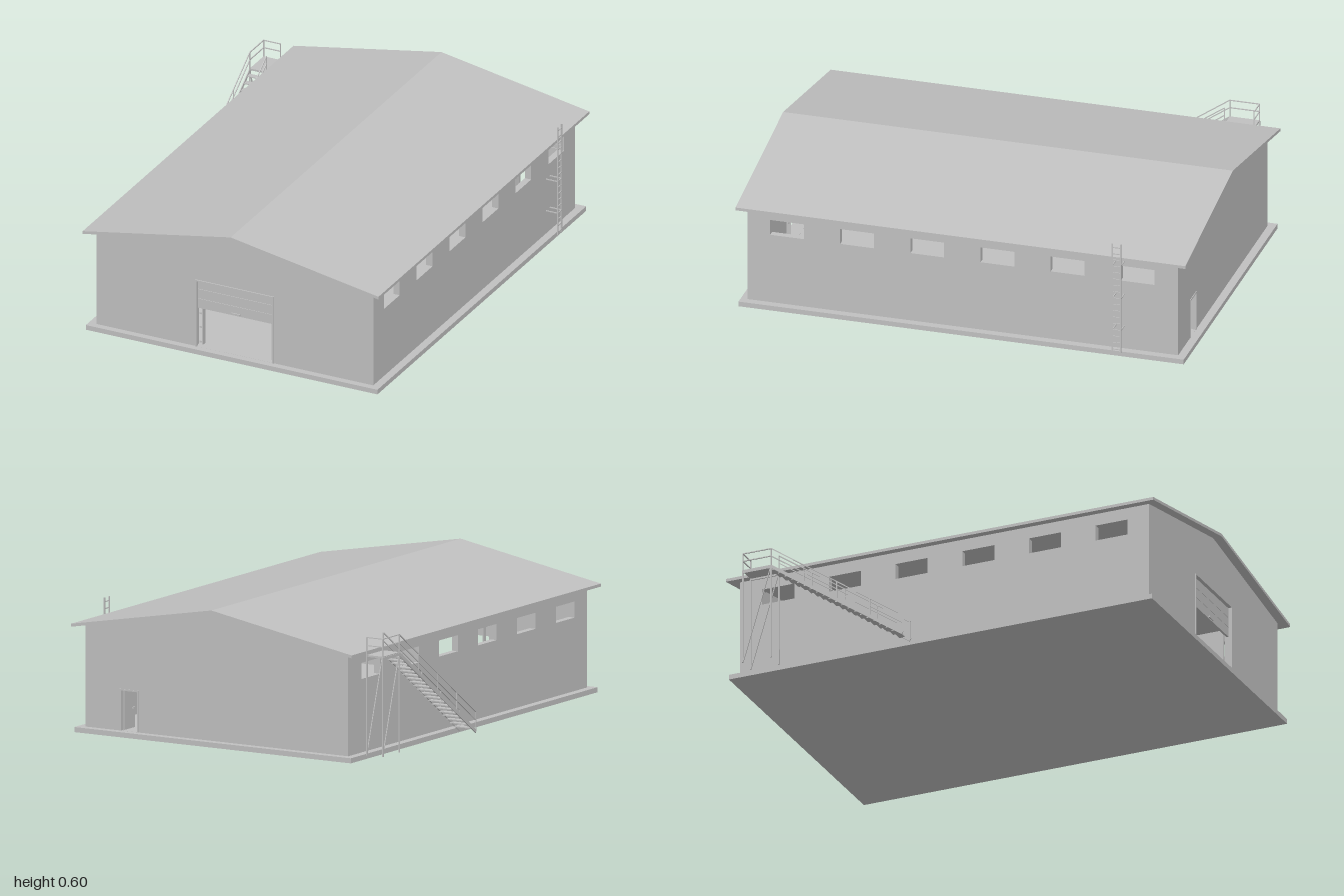
import * as THREE from 'three';

const grey = new THREE.MeshStandardMaterial({ color: 0xc0c0c0 });
grey.name = 'light grey';

export function createModel() {
  const model = new THREE.Group();
  model.name = 'warehouse';

  const group = (name) => {
    const g = new THREE.Group();
    g.name = name;
    model.add(g);
    return g;
  };
  const add = (parent, name, geo) => {
    const m = new THREE.Mesh(geo, grey);
    m.name = name;
    parent.add(m);
    return m;
  };
  // box from its limits on each axis
  const box = (parent, name, x0, x1, y0, y1, z0, z1) => {
    const m = add(parent, name, new THREE.BoxGeometry(x1 - x0, y1 - y0, z1 - z0));
    m.position.set((x0 + x1) / 2, (y0 + y1) / 2, (z0 + z1) / 2);
    return m;
  };
  // square bar between two points
  const bar = (parent, name, a, b, w = 0.005, d = w) => {
    const p = new THREE.Vector3(...a), q = new THREE.Vector3(...b);
    const m = add(parent, name, new THREE.BoxGeometry(w, d, p.distanceTo(q)));
    m.position.copy(p).add(q).multiplyScalar(0.5);
    m.lookAt(q);
    return m;
  };
  const polygon = (pts) => new THREE.Shape(pts.map((p) => new THREE.Vector2(...p)));
  const rect = (x0, x1, y0, y1) => polygon([[x0, y0], [x1, y0], [x1, y1], [x0, y1]]);
  const extrude = (shape, depth) => new THREE.ExtrudeGeometry(shape, { depth, bevelEnabled: false });

  const MID = 0.035, X0 = -0.625, X1 = 0.695, Z0 = -0.955, Z1 = 0.96;
  const FLOOR = 0.022, WALL = 0.03;

  // foundation slab
  box(model, 'foundation', -0.66, 0.73, 0, FLOOR, -0.99, 0.99);

  // pitched roof slab
  add(model, 'roof', extrude(polygon([
    [-0.67, 0.457], [MID, 0.583], [0.74, 0.457], [0.74, 0.47], [MID, 0.596], [-0.67, 0.47],
  ]), 2)).position.z = -1;

  // gable walls with door openings
  const walls = group('walls');
  const gable = (name, z, hole) => {
    const s = polygon([[X0, FLOOR], [X1, FLOOR], [X1, 0.464], [MID, 0.583], [X0, 0.464]]);
    s.holes.push(hole);
    add(walls, name, extrude(s, WALL)).position.z = z;
  };
  gable('frontWall', Z1 - WALL, rect(-0.15, 0.22, FLOOR + 0.0005, 0.335));
  gable('backWall', Z0, rect(0.43, 0.52, FLOOR + 0.0005, 0.2));

  // long walls with six window openings each
  const sideWall = (name, x) => {
    const s = rect(-Z1 + WALL, -Z0 - WALL, FLOOR, 0.464);
    for (let i = 0; i < 6; i++) {
      const z = 0.785 - i * 0.312;
      s.holes.push(rect(-z - 0.075, -z + 0.075, 0.34, 0.41));
    }
    const m = add(walls, name, extrude(s, WALL));
    m.rotation.y = Math.PI / 2;
    m.position.x = x;
  };
  sideWall('leftWall', X1 - WALL);
  sideWall('rightWall', X0);

  // half-raised sectional door with frame and tracks
  const gate = group('frontDoor');
  for (let i = 0; i < 3; i++) {
    const y = 0.2 + i * 0.045;
    box(gate, 'doorSection', -0.15, 0.22, y, y + 0.0435, Z1 - 0.022, Z1 - 0.012);
  }
  box(gate, 'doorHandle', 0.015, 0.055, 0.205, 0.212, Z1 - 0.012, Z1 - 0.007);
  box(gate, 'frameTop', -0.152, 0.222, 0.333, 0.338, Z1 - 0.01, Z1 + 0.005);
  for (const s of [-1, 1]) {
    const outer = MID + s * 0.185, inner = MID + s * 0.163;
    const span = (a, b) => [Math.min(a, b), Math.max(a, b)];
    box(gate, 'framePost', ...span(outer + s * 0.002, outer - s * 0.004), FLOOR, 0.338, Z1 - 0.01, Z1 + 0.005);
    box(gate, 'doorTrack', ...span(inner, inner + s * 0.006), FLOOR, 0.335, Z1 - 0.045, Z1 - 0.025);
    for (const y of [0.03, 0.1, 0.165]) {
      box(gate, 'trackBracket', ...span(inner, outer), y - 0.004, y + 0.004, Z1 - 0.04, Z1 - 0.032);
    }
  }

  // back door standing open inwards
  const backDoor = group('backDoor');
  box(backDoor, 'doorLeaf', 0.512, 0.519, FLOOR, 0.198, Z0 + 0.02, Z0 + 0.105);
  box(backDoor, 'doorHandle', 0.504, 0.512, 0.105, 0.112, Z0 + 0.08, Z0 + 0.097);
  box(backDoor, 'framePost', 0.516, 0.523, FLOOR, 0.2, Z0 - 0.003, Z0 + 0.02);
  box(backDoor, 'framePost', 0.427, 0.434, FLOOR, 0.2, Z0 - 0.003, Z0 + 0.02);
  box(backDoor, 'frameTop', 0.427, 0.523, 0.196, 0.203, Z0 - 0.003, Z0 + 0.02);

  // hanging lamps under the ridge
  const lamps = group('lamps');
  for (const z of [0.44, -0.08, -0.6]) {
    add(lamps, 'lampShade', new THREE.CylinderGeometry(0.008, 0.025, 0.025, 16)).position.set(MID, 0.37, z);
    bar(lamps, 'lampRod', [MID, 0.38, z], [MID, 0.585, z], 0.003);
  }

  // roof ladder on the long wall
  const ladder = group('roofLadder');
  const LX = 0.75, LZ = [-0.716, -0.679];
  for (const z of LZ) {
    bar(ladder, 'ladderRail', [LX, 0.025, z], [LX, 0.538, z]);
    for (const y of [0.13, 0.28, 0.435]) bar(ladder, 'ladderBracket', [X1, y, z], [LX, y, z], 0.004);
  }
  for (let i = 0; i < 17; i++) {
    const y = 0.04 + i * 0.03;
    bar(ladder, 'ladderRung', [LX, y, LZ[0]], [LX, y, LZ[1]], 0.004);
  }

  // outside staircase with landing
  const stairs = group('outsideStairs');
  const SX0 = -0.753, SX1 = -0.673, BACK = -0.882, TOP = -0.75, DECK = 0.45;
  box(stairs, 'landing', SX0, SX1, DECK - 0.004, DECK + 0.004, BACK, TOP);
  const STEPS = 20;
  for (let i = 0; i < STEPS; i++) {
    const t = i / STEPS, y = 0.036 + (DECK - 0.036) * t, z = -0.16 + (TOP + 0.16) * t;
    box(stairs, 'tread', SX0, SX1, y - 0.002, y + 0.002, z - 0.026, z);
  }
  for (const x of [SX0, SX1]) {
    // stringer, sloping handrails and balusters
    bar(stairs, 'stringer', [x, 0.015, -0.135], [x, DECK - 0.004, TOP], 0.004, 0.014);
    for (const h of [0.045, 0.08]) {
      bar(stairs, 'handrail', [x, 0.02 + h, -0.135], [x, DECK + h, TOP], 0.004);
    }
    for (let i = 0; i <= 4; i++) {
      const t = i / 4, y = 0.02 + (DECK - 0.02) * t, z = -0.135 + (TOP + 0.135) * t;
      bar(stairs, 'baluster', [x, y, z], [x, y + 0.08, z], 0.004);
    }
    // landing posts and braces
    for (const z of [BACK, TOP]) bar(stairs, 'landingPost', [x, 0.02, z], [x, DECK, z], 0.006);
    bar(stairs, 'landingBrace', [x, 0.02, BACK], [x, DECK, TOP], 0.004);
    bar(stairs, 'railPost', [x, DECK, BACK], [x, DECK + 0.08, BACK], 0.004);
    bar(stairs, 'deckBeam', [x, DECK - 0.006, BACK], [x, DECK - 0.006, TOP], 0.005, 0.012);
  }
  // landing guard rails on the outer and back edges
  for (const h of [0.045, 0.08]) {
    bar(stairs, 'guardRail', [SX0, DECK + h, BACK], [SX0, DECK + h, TOP], 0.004);
    bar(stairs, 'guardRail', [SX0, DECK + h, BACK], [SX1, DECK + h, BACK], 0.004);
  }

  return model;
}
